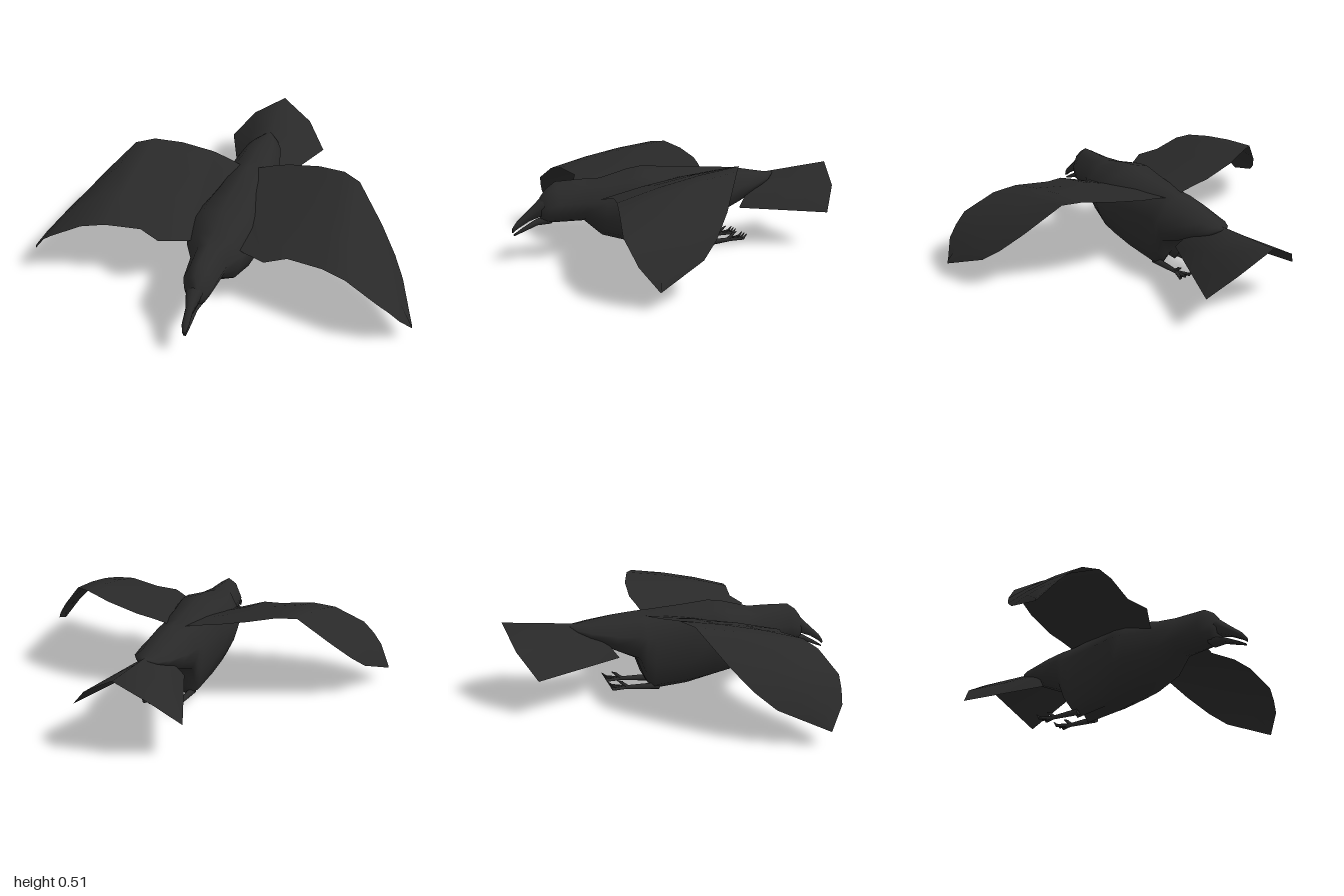
import * as THREE from 'three';

const plumage = new THREE.MeshStandardMaterial({ color: 0x292929 });
plumage.name = 'black plumage';
const feather = new THREE.MeshStandardMaterial({ color: 0x292929, side: THREE.DoubleSide });
feather.name = 'black feather sheet';

function geometryFrom(positions, index) {
  const g = new THREE.BufferGeometry();
  g.setAttribute('position', new THREE.Float32BufferAttribute(positions, 3));
  g.setIndex(index);
  g.computeVertexNormals();
  return g;
}

function add(parent, name, geometry, material = plumage) {
  const mesh = new THREE.Mesh(geometry, material);
  mesh.name = name;
  parent.add(mesh);
  return mesh;
}

// Closed skin over rings listed from front (+z) to back; each ring is an outline of [x, y, z]
function loft(rings) {
  const n = rings[0].length, pos = rings.flat(2), index = [];
  for (let i = 0; i < rings.length - 1; i++) {
    for (let j = 0; j < n; j++) {
      const a = i * n + j, b = i * n + (j + 1) % n;
      index.push(a, b, a + n, b, b + n, a + n);
    }
  }
  const last = (rings.length - 1) * n;
  for (let j = 1; j < n - 1; j++) {
    index.push(0, j + 1, j, last, last + j, last + j + 1);
  }
  return geometryFrom(pos, index);
}

// Open sheet through rows of [x, y, z] points
function sheet(rows) {
  const n = rows[0].length, index = [];
  for (let i = 0; i < rows.length - 1; i++) {
    for (let j = 0; j < n - 1; j++) {
      const a = i * n + j;
      index.push(a, a + n, a + 1, a + 1, a + n, a + n + 1);
    }
  }
  return geometryFrom(rows.flat(2), index);
}

// Mirrors a half outline running from the top centre to the bottom centre
function mirrorRing(half) {
  const back = half.slice(1, -1).reverse().map(([x, y, z]) => [-x, y, z]);
  return [...half, ...back];
}

// Body ring: z, top, bottom, half width, height of widest point, lower half width, belly groove
function bodyRing([z, top, bottom, w, mid, low, groove = 0]) {
  return mirrorRing([
    [0, top, z],
    [w * 0.55, top - (top - mid) * 0.25, z],
    [w, mid, z],
    [(w * 0.55 + low * 0.45), mid + (bottom - mid) * 0.5, z],
    [low, bottom + (mid - bottom) * 0.14, z],
    [low * 0.4, bottom, z],
    [0, bottom + groove, z],
  ]);
}

function beakRing([z, top, bottom, w]) {
  const mid = (top + bottom) / 2;
  return mirrorRing([[0, top, z], [w * 0.7, top - (top - mid) * 0.4, z],
    [w, mid, z], [w * 0.7, bottom, z], [0, bottom, z]]);
}

// Tapered rod between two points
function rod(a, b, r0, r1) {
  const p = new THREE.Vector3(...a), q = new THREE.Vector3(...b), d = q.clone().sub(p);
  const g = new THREE.CylinderGeometry(r1, r0, d.length(), 6);
  g.applyQuaternion(new THREE.Quaternion().setFromUnitVectors(
    new THREE.Vector3(0, 1, 0), d.clone().normalize()));
  const c = p.add(q).multiplyScalar(0.5);
  return g.translate(c.x, c.y, c.z);
}

export function createModel() {
  const bird = new THREE.Group();
  bird.name = 'flyingBird';

  // Head, trunk and rump in one smooth skin
  add(bird, 'body', loft([
    [0.74, 0.325, 0.215, 0.035, 0.265, 0.025],
    [0.71, 0.365, 0.195, 0.058, 0.275, 0.04],
    [0.66, 0.4, 0.195, 0.08, 0.29, 0.05],
    [0.52, 0.405, 0.195, 0.095, 0.295, 0.065],
    [0.43, 0.405, 0.115, 0.145, 0.295, 0.1],
    [0.28, 0.445, 0.07, 0.2, 0.3, 0.13],
    [0.2, 0.457, 0.05, 0.19, 0.31, 0.13],
    [0.07, 0.445, 0.02, 0.165, 0.31, 0.12, 0.01],
    [-0.12, 0.432, 0.004, 0.14, 0.31, 0.11, 0.04],
    [-0.165, 0.43, 0.08, 0.14, 0.31, 0.11, 0.02],
    [-0.2, 0.428, 0.18, 0.14, 0.32, 0.11],
    [-0.32, 0.418, 0.235, 0.125, 0.33, 0.09],
    [-0.45, 0.395, 0.3, 0.095, 0.35, 0.06],
    [-0.51, 0.385, 0.335, 0.06, 0.36, 0.04],
    [-0.555, 0.383, 0.37, 0.01, 0.377, 0.006],
  ].map(bodyRing)));

  // Open beak
  add(bird, 'upperBeak', loft([
    [0.883, 0.175, 0.152, 0.009],
    [0.86, 0.208, 0.172, 0.018],
    [0.8, 0.262, 0.208, 0.02],
    [0.74, 0.32, 0.232, 0.038],
    [0.69, 0.35, 0.23, 0.05],
  ].map(beakRing)));
  add(bird, 'lowerBeak', loft([
    [0.876, 0.145, 0.136, 0.008],
    [0.83, 0.175, 0.155, 0.016],
    [0.76, 0.215, 0.185, 0.025],
    [0.69, 0.235, 0.192, 0.045],
  ].map(beakRing)));

  // Wing stations from root to tip: front edge point, then rear edge point
  const stations = [
    [[0.08, 0.32, 0.4], [0.05, 0.41, -0.155]],
    [[0.15, 0.32, 0.435], [0.12, 0.43, -0.165]],
    [[0.27, 0.345, 0.502], [0.21, 0.45, -0.177]],
    [[0.375, 0.365, 0.465], [0.38, 0.485, -0.16]],
    [[0.55, 0.38, 0.503], [0.52, 0.51, -0.115]],
    [[0.67, 0.362, 0.53], [0.61, 0.5, -0.065]],
    [[0.83, 0.285, 0.562], [0.76, 0.345, 0.05]],
    [[0.89, 0.235, 0.548], [0.85, 0.245, 0.14]],
    [[0.94, 0.18, 0.53], [0.91, 0.175, 0.225]],
    [[1.0, 0.08, 0.455], [1.0, 0.08, 0.455]],
  ];
  for (const s of [1, -1]) {
    const side = s > 0 ? 'left' : 'right';
    const rows = stations.map(([f, b]) => [0, 0.33, 0.67, 1].map((t) => {
      const camber = 0.06 * t * (1 - t);
      return [s * (f[0] + (b[0] - f[0]) * t), f[1] + (b[1] - f[1]) * t + camber,
        f[2] + (b[2] - f[2]) * t];
    }));
    // Reversed on one side so that both upper faces point up
    add(bird, side + 'Wing', sheet(s > 0 ? rows : rows.reverse()), feather);

    // Trailing leg with toes and a raised hind claw
    const leg = new THREE.Group();
    leg.name = side + 'Leg';
    const x = 0.07 * s, ankle = [x, 0.035, -0.27];
    add(leg, 'shank', rod([x, 0.025, -0.09], ankle, 0.02, 0.011));
    for (const dx of [-0.03, 0, 0.03]) {
      add(leg, 'toe', rod(ankle, [x + dx, 0.042, -0.345], 0.01, 0.008));
      add(leg, 'claw', rod([x + dx, 0.04, -0.34], [x + dx, 0.065, -0.362], 0.009, 0.002));
    }
    add(leg, 'hindToe', rod([x, 0.035, -0.26], [x, 0.065, -0.295], 0.01, 0.008));
    add(leg, 'hindClaw', rod([x, 0.062, -0.29], [x, 0.077, -0.315], 0.009, 0.002));
    bird.add(leg);
  }

  // Arched tail fan: base edge to outer edge, from one side to the other
  const base = [[0.11, 0.215, -0.31], [0.075, 0.31, -0.38], [0, 0.375, -0.42]];
  const rim = [[0.28, 0.19, -0.75], [0.17, 0.315, -0.84], [0, 0.42, -0.885]];
  const across = (half) => [...half, ...half.slice(0, -1).reverse().map(([x, y, z]) => [-x, y, z])];
  const outer = across(rim);
  const fan = across(base).map((p, i) => [0, 0.5, 1].map(
    (t) => p.map((v, k) => v + (outer[i][k] - v) * t)));
  add(bird, 'tail', sheet(fan.reverse()), feather);

  return bird;
}
